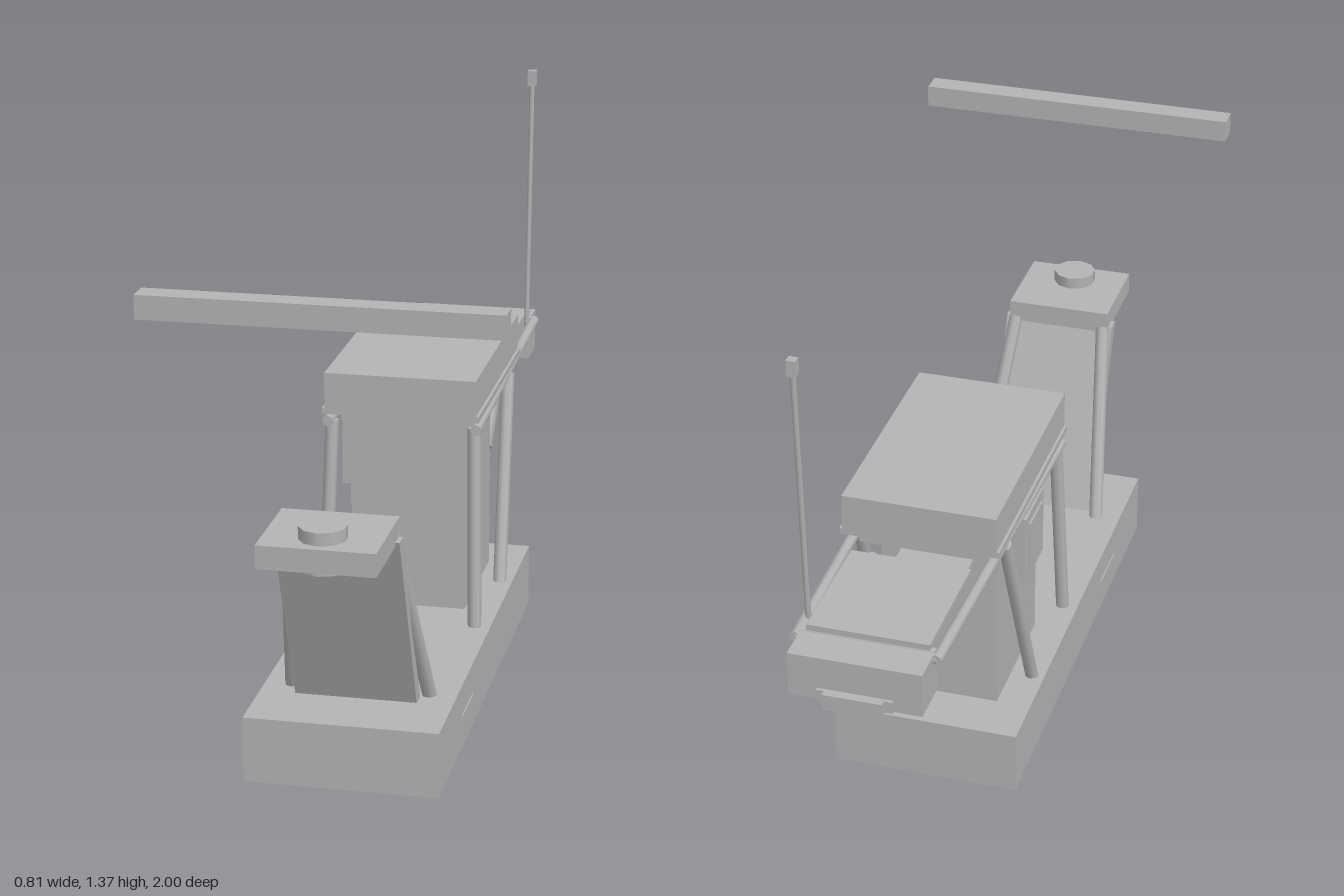
import * as THREE from 'three';

export function createModel() {
  const model = new THREE.Group();
  model.name = 'padStand';
  const grey = new THREE.MeshStandardMaterial({ color: 0xb4b4b4 });
  grey.name = 'plainGrey';

  function add(name, geometry) {
    const mesh = new THREE.Mesh(geometry, grey);
    mesh.name = name;
    model.add(mesh);
    return mesh;
  }
  // Box given by its extents on each axis
  function box(name, x0, x1, y0, y1, z0, z1) {
    const mesh = add(name, new THREE.BoxGeometry(x1 - x0, y1 - y0, z1 - z0));
    mesh.position.set((x0 + x1) / 2, (y0 + y1) / 2, (z0 + z1) / 2);
    return mesh;
  }
  // Round bar between two points
  function rod(name, a, b, radius, sides = 8) {
    const start = new THREE.Vector3(...a), end = new THREE.Vector3(...b);
    const dir = end.clone().sub(start);
    const mesh = add(name, new THREE.CylinderGeometry(radius, radius, dir.length(), sides));
    mesh.position.copy(start).add(end).multiplyScalar(0.5);
    mesh.quaternion.setFromUnitVectors(new THREE.Vector3(0, 1, 0), dir.normalize());
    return mesh;
  }
  // Outline in z and y, extruded across x
  function sideProfile(name, points, halfWidth) {
    const shape = new THREE.Shape(points.map(([z, y]) => new THREE.Vector2(-z, y)));
    const geometry = new THREE.ExtrudeGeometry(shape, { depth: halfWidth * 2, bevelEnabled: false });
    geometry.translate(0, 0, -halfWidth);
    geometry.rotateY(Math.PI / 2);
    return add(name, geometry);
  }

  // Base
  box('base', -0.23, 0.23, 0.005, 0.165, -0.47, 0.775);
  box('bottomPlate', -0.145, 0.145, 0, 0.006, -0.14, 0.45);

  // Pedestal with a service box on its right side
  box('pedestal', -0.145, 0.145, 0.16, 0.675, -0.34, 0.01);
  box('serviceBox', -0.185, -0.145, 0.45, 0.63, -0.23, -0.07);
  box('serviceBoxDoor', -0.19, -0.184, 0.475, 0.605, -0.205, -0.095);

  // Seat with a narrow flange underneath
  box('seatFlange', -0.195, 0.195, 0.69, 0.705, -0.5, 0.11);
  box('seat', -0.188, 0.188, 0.7, 0.795, -0.5, 0.11);
  box('seatFrame', -0.15, 0.15, 0.67, 0.692, -0.49, 0.09);

  // Leaning front panel and head
  sideProfile('frontPanel', [[0.57, 0.16], [0.61, 0.16], [0.805, 0.63], [0.765, 0.63]], 0.145);
  box('frontHead', -0.135, 0.135, 0.62, 0.675, 0.755, 1.0);
  const knob = add('knob', new THREE.CylinderGeometry(0.055, 0.055, 0.1, 10));
  knob.position.set(0, 0.655, 0.925);

  // Separate crossbar in front
  box('crossbar', -0.405, 0.405, 1.155, 1.21, 0.895, 0.955);

  // Mirrored frame parts
  for (const s of [1, -1]) {
    rod('frontPanelStrut', [s * 0.165, 0.16, 0.555], [s * 0.12, 0.63, 0.765], 0.018);
    rod('frontLeg', [s * 0.19, 0.16, 0.115], [s * 0.178, 0.665, 0.07], 0.017);
    rod('rearLeg', [s * 0.197, 0.16, -0.205], [s * 0.18, 0.665, -0.4], 0.017);
    rod('sideRail', [s * 0.185, 0.665, 0.09], [s * 0.165, 0.665, -0.9], 0.014);
    box('sideSlot', s * 0.231 - 0.002, s * 0.231 + 0.002, 0.08, 0.09, 0.36, 0.5);
  }
  rod('rearRailBar', [-0.165, 0.665, -0.89], [0.165, 0.665, -0.89], 0.013);

  // Tail
  box('tailPlate', -0.145, 0.145, 0.675, 0.69, -0.88, -0.56);
  box('tailLowerPlate', -0.09, 0.09, 0.565, 0.58, -0.87, -0.34);
  box('tailBox', -0.157, 0.157, 0.565, 0.675, -0.977, -0.865);
  box('latchPlate', -0.09, 0.09, 0.565, 0.595, -0.985, -0.97);
  box('latch', -0.07, 0.07, 0.555, 0.595, -1.0, -0.98);

  // Slanted cylinder behind the pedestal
  rod('slantedCylinder', [0.12, 0.48, -0.335], [0.12, 0.615, -0.495], 0.03);

  // Antenna
  rod('antenna', [0.157, 0.67, -0.83], [0.157, 1.33, -0.873], 0.007, 6);
  box('antennaTip', 0.146, 0.168, 1.325, 1.365, -0.886, -0.864);

  return model;
}
